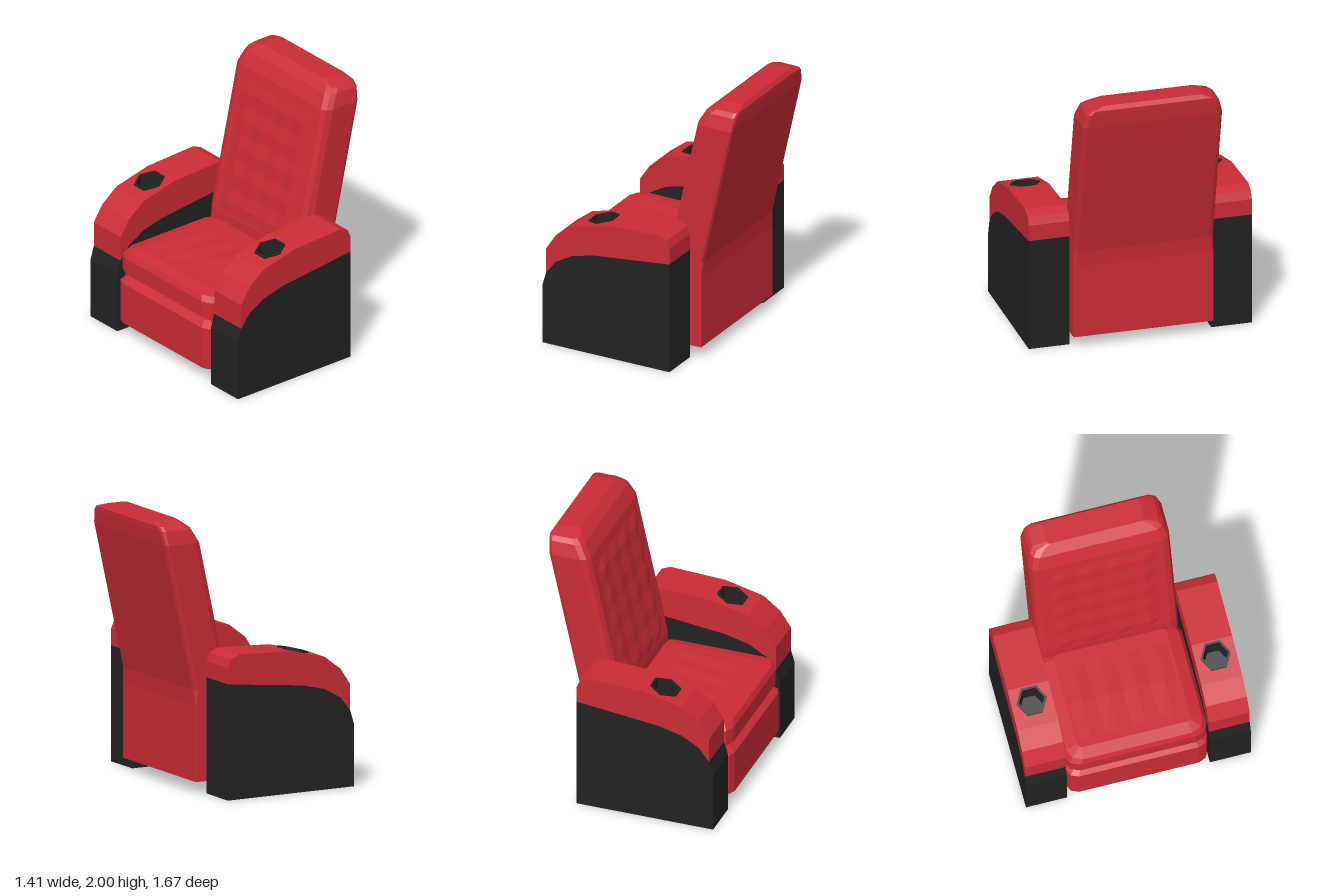
import * as THREE from 'three';

const red = new THREE.MeshStandardMaterial({ color: 0xcb2c36, flatShading: true });
red.name = 'red leather';
const black = new THREE.MeshStandardMaterial({ color: 0x222222, flatShading: true });
black.name = 'black panel';

function mesh(name, geometry, material) {
  const m = new THREE.Mesh(geometry, material);
  m.name = name;
  return m;
}

// Plan outline with rounded-off corners: f front x, b back x, w half width, cf/cb corner cuts
function ring({ y, f, b, w, cf, cb }) {
  const half = [
    [b, w - cb], [b - cb * 0.3, w - cb * 0.3], [b - cb, w],
    [f + cf, w], [f + cf * 0.3, w - cf * 0.3], [f, w - cf],
  ];
  const mirrored = half.map(([x, z]) => [x, -z]);
  return [...mirrored, ...half.reverse()].map(([x, z]) => new THREE.Vector3(x, y, z));
}

// Skin between stacked plan outlines, closed at both ends
function loft(sections) {
  const rings = sections.map(ring), pts = [], n = rings[0].length;
  const centre = (r) => r.reduce((s, p) => s.add(p), new THREE.Vector3()).divideScalar(n);
  const low = rings[0], high = rings[rings.length - 1];
  const lowMid = centre(low), highMid = centre(high);
  for (let i = 0; i < n; i++) {
    const j = (i + 1) % n;
    for (let k = 0; k + 1 < rings.length; k++) {
      const a = rings[k][i], b = rings[k][j], c = rings[k + 1][j], d = rings[k + 1][i];
      pts.push(a, b, c, a, c, d);
    }
    pts.push(lowMid, low[j], low[i], highMid, high[i], high[j]);
  }
  const g = new THREE.BufferGeometry().setFromPoints(pts);
  g.computeVertexNormals();
  return g;
}

// Grid of padded ridges; place(u, v, height) maps -0.5..0.5 coordinates to space
function quilt(nu, nv, bump, place) {
  const g = new THREE.PlaneGeometry(1, 1, nu, nv);
  const p = g.attributes.position;
  for (let i = 0; i < p.count; i++) {
    const col = i % (nu + 1), row = Math.floor(i / (nu + 1));
    const edge = col === 0 || col === nu || row === 0 || row === nv;
    p.setXYZ(i, ...place(p.getX(i), p.getY(i), edge ? -0.002 : bump(col, row)));
  }
  const flat = g.toNonIndexed();
  flat.computeVertexNormals();
  return flat;
}

// Side profile extruded across the arm's width
const ARM_IN = 0.53, ARM_W = 0.303, ARM_MID = ARM_IN + ARM_W / 2;
function slab(points) {
  const shape = new THREE.Shape(points.map(([x, y]) => new THREE.Vector2(x, y)));
  return new THREE.ExtrudeGeometry(shape, { depth: ARM_W, bevelEnabled: false })
    .translate(0, 0, -ARM_W / 2);
}

function hexagon(r) {
  return Array.from({ length: 6 }, (_, i) => {
    const a = (i + 0.5) * Math.PI / 3;
    return [r * Math.cos(a), r * Math.sin(a)];
  });
}

const CUP_X = -0.27;
const topY = (x) => 0.97 + (x + 0.45) * 0.07 / 0.29;

function arm(name) {
  const g = new THREE.Group();
  g.name = name;
  g.add(mesh('armBase', slab([[-0.69, 0], [0.355, 0], [0.355, 0.85], [-0.27, 0.78],
    [-0.45, 0.735], [-0.58, 0.66], [-0.66, 0.56], [-0.69, 0.46]]), black));
  g.add(mesh('armPadFront', slab([[-0.66, 0.56], [-0.58, 0.66], [-0.45, 0.735],
    [-0.45, 0.97], [-0.58, 0.87], [-0.66, 0.75]]), red));
  g.add(mesh('armPadRear', slab([[-0.16, 0.792], [0.355, 0.85], [0.355, 0.97],
    [0.33, 1.03], [0.26, 1.06], [-0.16, 1.04]]), red));

  // Middle of the pad: plan outline with the cup opening, sheared to the slope
  const h = ARM_W / 2;
  const plan = new THREE.Shape([[-0.45, -h], [CUP_X, -h], [-0.16, -h], [-0.16, h], [CUP_X, h], [-0.45, h]]
    .map(([x, y]) => new THREE.Vector2(x, y)));
  // Turned so that the hexagon's points lie across the arm
  plan.holes.push(new THREE.Path(hexagon(0.104).map(([x, y]) => new THREE.Vector2(x + CUP_X, y))));
  const pad = new THREE.ExtrudeGeometry(plan, { depth: 1, bevelEnabled: false }).rotateX(-Math.PI / 2);
  const p = pad.attributes.position;
  for (let i = 0; i < p.count; i++) {
    const x = p.getX(i);
    const under = x < CUP_X ? 0.78 + (x - CUP_X) * 0.25 : 0.78 + (x - CUP_X) * 0.112;
    p.setY(i, p.getY(i) > 0.5 ? topY(x) : under);
  }
  pad.computeVertexNormals();
  g.add(mesh('armPadMiddle', pad, red));

  // Hollow six-sided cup with a thin raised rim
  const cupProfile = [[0, -0.14], [0.088, -0.14], [0.094, 0.01], [0.112, 0.01], [0.112, -0.01]]
    .map(([x, y]) => new THREE.Vector2(x, y));
  const cup = new THREE.LatheGeometry(cupProfile.reverse(), 6).translate(CUP_X, 0, 0);
  const c = cup.attributes.position;
  for (let i = 0; i < c.count; i++) c.setY(i, c.getY(i) + topY(c.getX(i)));
  cup.computeVertexNormals();
  const cupMaterial = black;
  cupMaterial.side = THREE.DoubleSide;
  g.add(mesh('cupHolder', cup, cupMaterial));
  return g;
}

export function createModel() {
  const model = new THREE.Group();
  model.name = 'reclinerSeat';

  // Arms on both sides
  for (const s of [1, -1]) {
    const a = arm(s > 0 ? 'armNear' : 'armFar');
    a.position.z = s * ARM_MID;
    model.add(a);
  }

  // Lower front block, recessed filler and seat cushion
  model.add(mesh('footrest', loft([
    { y: 0.07, f: -0.66, b: 0.2, w: 0.46, cf: 0.06, cb: 0.02 },
    { y: 0.11, f: -0.71, b: 0.2, w: 0.525, cf: 0.08, cb: 0.02 },
    { y: 0.43, f: -0.71, b: 0.2, w: 0.525, cf: 0.08, cb: 0.02 },
    { y: 0.47, f: -0.66, b: 0.2, w: 0.48, cf: 0.06, cb: 0.02 },
  ]), red));
  model.add(mesh('seatFiller', new THREE.BoxGeometry(0.85, 0.3, 1.0).translate(-0.215, 0.42, 0), red));
  model.add(mesh('seatCushion', loft([
    { y: 0.48, f: -0.65, b: 0.17, w: 0.48, cf: 0.08, cb: 0.06 },
    { y: 0.51, f: -0.695, b: 0.17, w: 0.53, cf: 0.1, cb: 0.06 },
    { y: 0.63, f: -0.695, b: 0.17, w: 0.53, cf: 0.1, cb: 0.06 },
    { y: 0.67, f: -0.675, b: 0.16, w: 0.505, cf: 0.1, cb: 0.06 },
    { y: 0.69, f: -0.59, b: 0.14, w: 0.42, cf: 0.03, cb: 0.03 },
  ]), red));
  model.add(mesh('seatQuilting', quilt(8, 2, (col) => (col % 2 ? 0.012 : 0.002),
    (u, v, h) => [-0.25 + v * 0.66, 0.69 + h, u * 0.82]), red));

  // Tilted backrest
  model.add(mesh('backrest', loft([
    { y: 0.09, f: 0.17, b: 0.44, w: 0.522, cf: 0.04, cb: 0.005 },
    { y: 0.64, f: 0.14, b: 0.44, w: 0.522, cf: 0.05, cb: 0.005 },
    { y: 0.76, f: 0.145, b: 0.45, w: 0.522, cf: 0.06, cb: 0.03 },
    { y: 1.84, f: 0.385, b: 0.69, w: 0.522, cf: 0.06, cb: 0.03 },
    { y: 1.94, f: 0.44, b: 0.703, w: 0.495, cf: 0.06, cb: 0.03 },
    { y: 1.97, f: 0.475, b: 0.705, w: 0.465, cf: 0.06, cb: 0.03 },
    { y: 2.0, f: 0.51, b: 0.685, w: 0.36, cf: 0.02, cb: 0.01 },
  ]), red));
  model.add(mesh('backQuilting', quilt(8, 10,
    (col, row) => (col % 2 ? 0.009 : 0.001) + (row % 2 ? 0.007 : 0),
    (u, v, h) => {
      const y = 1.27 + v * 1.02;
      return [0.145 + (y - 0.76) * 0.2222 - h, y, u * 0.82];
    }), red));

  return model;
}
